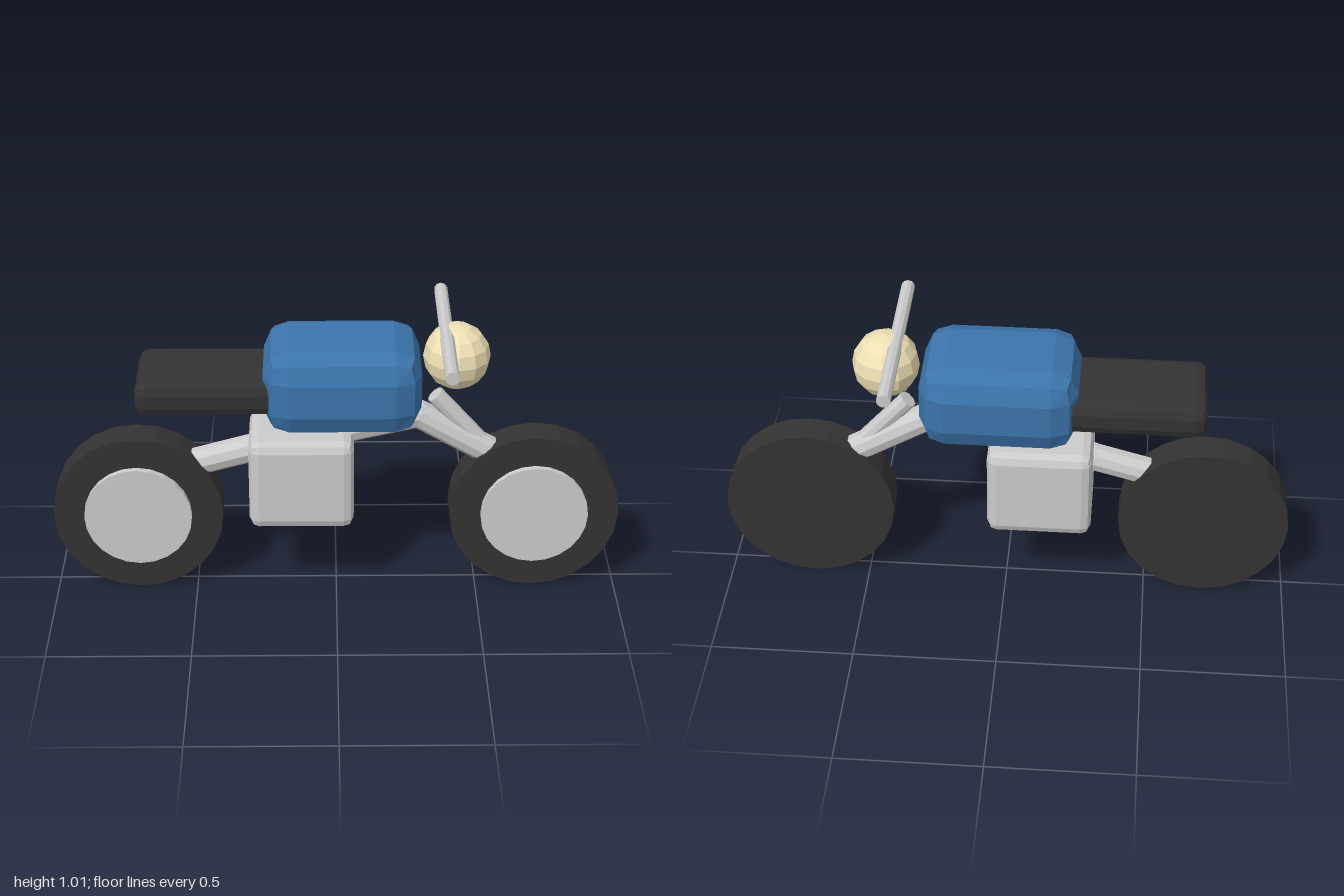
import * as THREE from 'three';
import { RoundedBoxGeometry } from 'three/addons/geometries/RoundedBoxGeometry.js';

const material = (color) => new THREE.MeshStandardMaterial({ color, flatShading: true });
const grey = material(0xcccccc);
const black = material(0x333333);
const blue = material(0x3b74ab);
const cream = material(0xeee0b4);

export function createModel() {
  const model = new THREE.Group();
  model.name = 'motorcycle';

  const add = (name, geometry, mat, x, y, z = 0) => {
    const mesh = new THREE.Mesh(geometry, mat);
    mesh.name = name;
    mesh.position.set(x, y, z);
    model.add(mesh);
    return mesh;
  };

  // Straight round bar between two points
  const bar = (name, from, to, radius, sides = 10) => {
    const a = new THREE.Vector3(...from);
    const b = new THREE.Vector3(...to);
    const dir = b.clone().sub(a);
    const mid = a.clone().lerp(b, 0.5);
    const mesh = add(name, new THREE.CylinderGeometry(radius, radius, dir.length(), sides), grey, mid.x, mid.y, mid.z);
    mesh.quaternion.setFromUnitVectors(new THREE.Vector3(0, 1, 0), dir.normalize());
  };

  // Disc with its axis along z
  const disc = (name, radius, z0, z1, mat, x) => {
    const geometry = new THREE.CylinderGeometry(radius, radius, z1 - z0, 24).rotateX(Math.PI / 2);
    add(name, geometry, mat, x, 0.3, (z0 + z1) / 2);
  };

  // Wheels, each with a raised hub disc on the +z side
  for (const [side, x] of [['rear', -0.7], ['front', 0.7]]) {
    disc(`${side}Tyre`, 0.3, -0.058, 0.058, black, x);
    disc(`${side}Hub`, 0.19, 0.02, 0.08, grey, x);
  }

  // Body blocks
  add('fuelTank', new RoundedBoxGeometry(0.54, 0.3, 0.41, 1, 0.09), blue, 0.02, 0.818);
  add('seat', new RoundedBoxGeometry(0.52, 0.117, 0.326, 1, 0.035), black, -0.425, 0.8);
  add('engine', new RoundedBoxGeometry(0.365, 0.336, 0.307, 1, 0.035), grey, -0.122, 0.458);

  // Backbone tube, bending down at the steering head
  const path = [[-0.68, 0.43, 0], [-0.3, 0.535, 0], [0.285, 0.67, 0], [0.66, 0.45, 0]];
  for (let i = 0; i < path.length - 1; i++) bar('frameTube', path[i], path[i + 1], 0.05);
  for (const p of path.slice(1, -1)) add('frameJoint', new THREE.SphereGeometry(0.05, 10, 8), grey, ...p);

  // Front fork and handlebar
  bar('frontFork', [0.342, 0.745, 0], [0.7, 0.34, 0], 0.032);
  bar('handlebar', [0.375, 0.983, -0.35], [0.375, 0.983, 0.35], 0.024);

  // Headlight
  const lamp = new THREE.SphereGeometry(0.116, 12, 8).scale(1, 1, 1.06);
  add('headlight', lamp, cream, 0.413, 0.895);

  return model;
}
